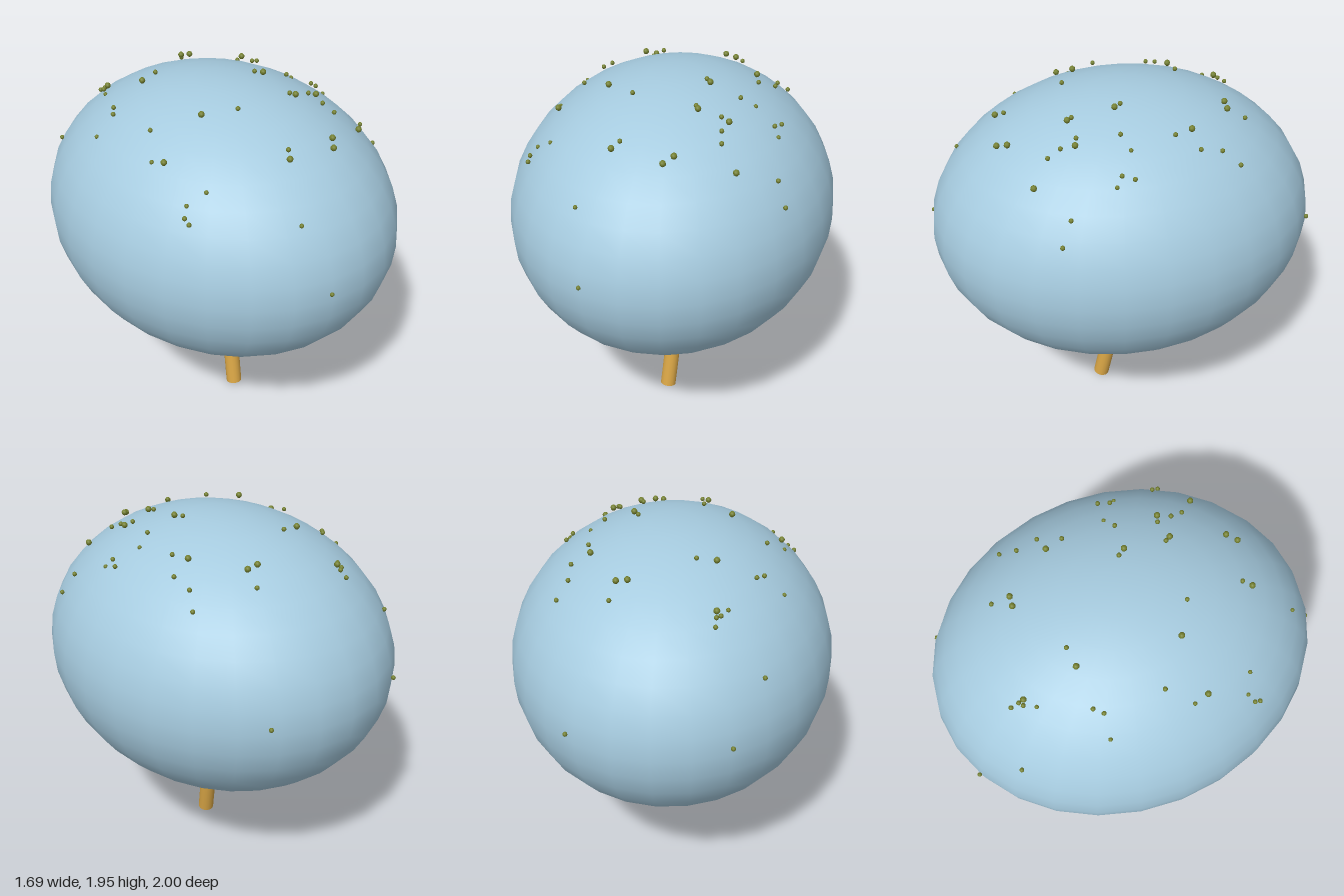
import * as THREE from 'three';

const CENTER_Y = 1.205;
const RX = 0.845, RY = 0.725, RZ = 1.0;

// Speckle positions on the cap, as x, z pairs
const LARGE = [
  -0.26, -0.585, 0.16, -0.48, 0.215, -0.475, -0.24, -0.315, 0.375, -0.235, 0.205, 0.095,
  -0.545, 0.21, -0.285, 0.18, 0.2, 0.325, 0.35, 0.325, 0.435, 0.545, -0.135, 0.615,
  0.16, 0.61, 0.12, 0.655,
];
const MEDIUM = [
  -0.37, -0.91, 0.41, -0.88, -0.495, -0.705, -0.26, -0.65, -0.26, -0.61, -0.28, -0.595,
  0.235, -0.565, 0.51, -0.44, 0.465, -0.36, -0.43, -0.31, -0.145, -0.325, -0.465, -0.27,
  0.47, -0.25, 0.4, -0.145, -0.47, 0.025, 0.18, 0.06, 0.36, 0.11, 0.565, 0.1,
  -0.135, 0.27, 0.54, 0.155, 0.185, 0.3, 0.31, 0.31, 0.33, 0.39, 0.345, 0.455,
  -0.62, 0.435, -0.62, 0.465, 0.61, 0.415, 0.66, 0.47, -0.105, 0.575,
];
const SUNKEN = [
  -0.31, -0.54, -0.565, -0.28, 0.43, 0.08, -0.56, 0.14, 0.565, 0.185, -0.585, 0.41,
  -0.5, 0.45, -0.25, 0.81, -0.195, 0.972,
];

export function createModel() {
  const blue = new THREE.MeshStandardMaterial({ color: 0xa6cbdf });
  blue.name = 'pale blue';
  const amber = new THREE.MeshStandardMaterial({ color: 0xd8a545 });
  amber.name = 'amber';
  const olive = new THREE.MeshStandardMaterial({ color: 0x74802f });
  olive.name = 'olive';

  const group = new THREE.Group();
  const add = (name, geometry, material, parent = group) => {
    const mesh = new THREE.Mesh(geometry, material);
    mesh.name = name;
    parent.add(mesh);
    return mesh;
  };

  // Rounded head: a stretched sphere
  const headGeometry = new THREE.SphereGeometry(1, 28, 20);
  headGeometry.scale(RX, RY, RZ);
  add('head', headGeometry, blue).position.y = CENTER_Y;

  // Slightly bent stem leaning forward, closed at its foot
  const foot = new THREE.Vector3(-0.004, 0.008, 0.128);
  const path = new THREE.CatmullRomCurve3([
    foot,
    new THREE.Vector3(0.008, 0.2, 0.092),
    new THREE.Vector3(0.013, 0.37, 0.061),
    new THREE.Vector3(0.012, 0.56, 0.027),
  ]);
  add('stem', new THREE.TubeGeometry(path, 12, 0.044, 16), amber);
  const footCap = add('stemEnd', new THREE.CircleGeometry(0.044, 16), amber);
  footCap.position.copy(foot);
  footCap.quaternion.setFromUnitVectors(new THREE.Vector3(0, 0, 1), path.getTangent(0).negate());

  // Small speckles scattered over the upper half
  const speckles = new THREE.Group();
  speckles.name = 'speckles';
  group.add(speckles);
  const scatter = (points, radius, height) => {
    const geometry = new THREE.SphereGeometry(radius, 8, 6);
    for (let i = 0; i < points.length; i += 2) {
      const x = points[i], z = points[i + 1];
      const rise = Math.sqrt(Math.max(0.003, 1 - (x / RX) ** 2 - (z / RZ) ** 2));
      add('speckle', geometry, olive, speckles).position.set(x, CENTER_Y + height * rise, z);
    }
  };
  scatter(LARGE, 0.016, 0.756);
  scatter(MEDIUM, 0.012, 0.748);
  scatter(SUNKEN, 0.011, 0.724);

  return group;
}
